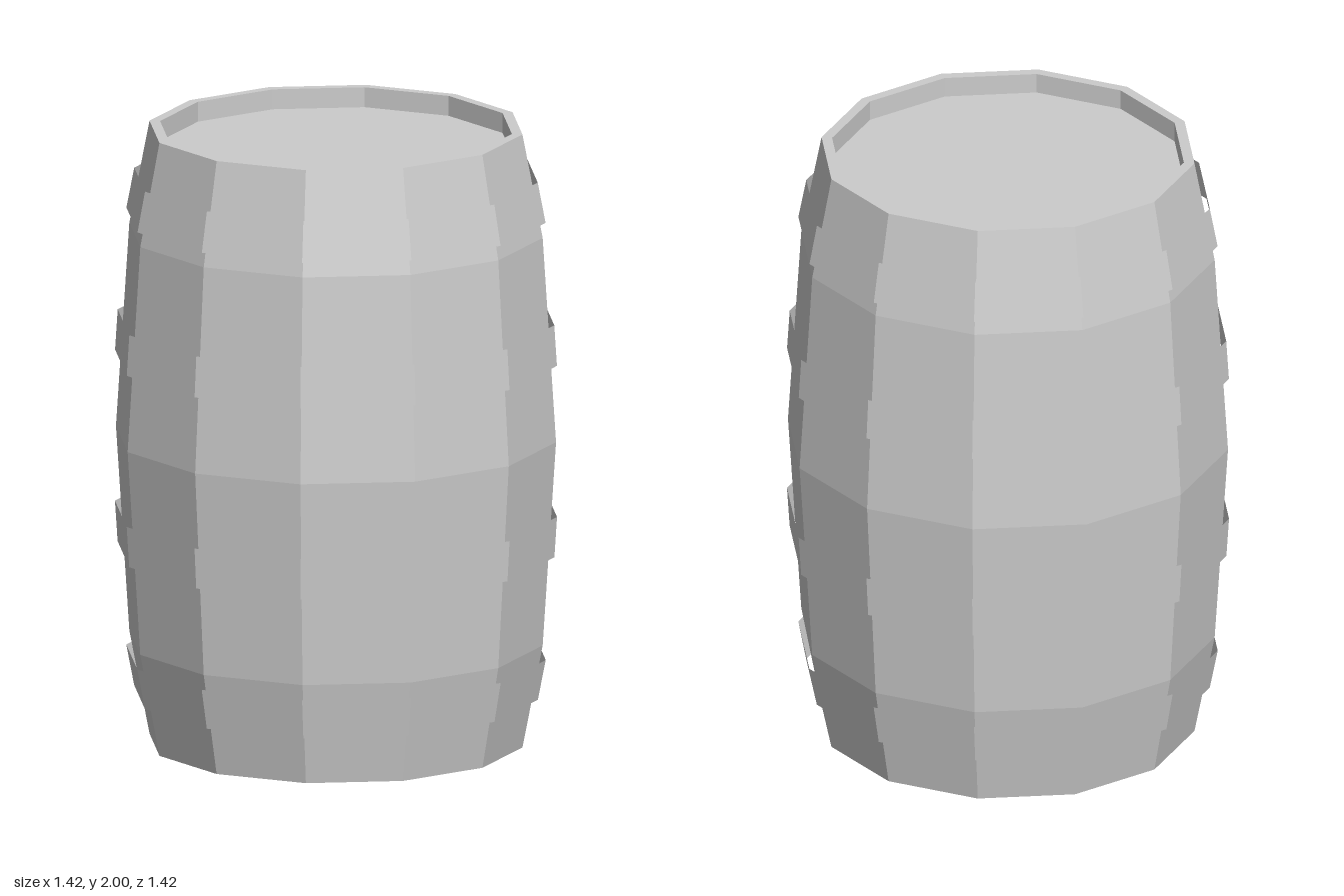
import * as THREE from 'three';

const SIDES = 12;
const barrelGrey = new THREE.MeshStandardMaterial({ color: 0xcccccc, flatShading: true, side: THREE.DoubleSide });
barrelGrey.name = 'barrelGrey';

// Outer stave profile as [radius, height], bottom to top
const profile = [[0.6, 0], [0.665, 0.335], [0.708, 1], [0.665, 1.665], [0.6, 2]];

// Stave radius at a given height
function radiusAt(y) {
  const i = Math.max(1, profile.findIndex(p => p[1] >= y));
  const [r0, y0] = profile[i - 1], [r1, y1] = profile[i];
  return r0 + (r1 - r0) * (y - y0) / (y1 - y0);
}

function turned(name, points) {
  const geometry = new THREE.LatheGeometry(points.map(([r, y]) => new THREE.Vector2(r, y)), SIDES);
  const mesh = new THREE.Mesh(geometry, barrelGrey);
  mesh.name = name;
  return mesh;
}

export function createModel() {
  const barrel = new THREE.Group();
  barrel.name = 'barrel';

  // Bulging shell, open underneath
  barrel.add(turned('staves', profile));

  // Top rim with its recessed inner wall
  barrel.add(turned('rim', [[0.6, 2], [0.566, 2], [0.566, 1.935]]));

  // Sunken lid
  const lid = new THREE.Mesh(new THREE.CircleGeometry(0.566, SIDES), barrelGrey);
  lid.name = 'lid';
  lid.rotation.x = -Math.PI / 2;
  lid.position.y = 1.935;
  barrel.add(lid);

  // Thin hoops standing just off the staves
  const hoops = [['lowerHoop', 0.157, 0.288], ['lowerMiddleHoop', 0.624, 0.756],
    ['upperMiddleHoop', 1.249, 1.381], ['upperHoop', 1.714, 1.845]];
  for (const [name, y0, y1] of hoops) {
    barrel.add(turned(name, [[radiusAt(y0) + 0.019, y0], [radiusAt(y1) + 0.019, y1]]));
  }
  return barrel;
}
